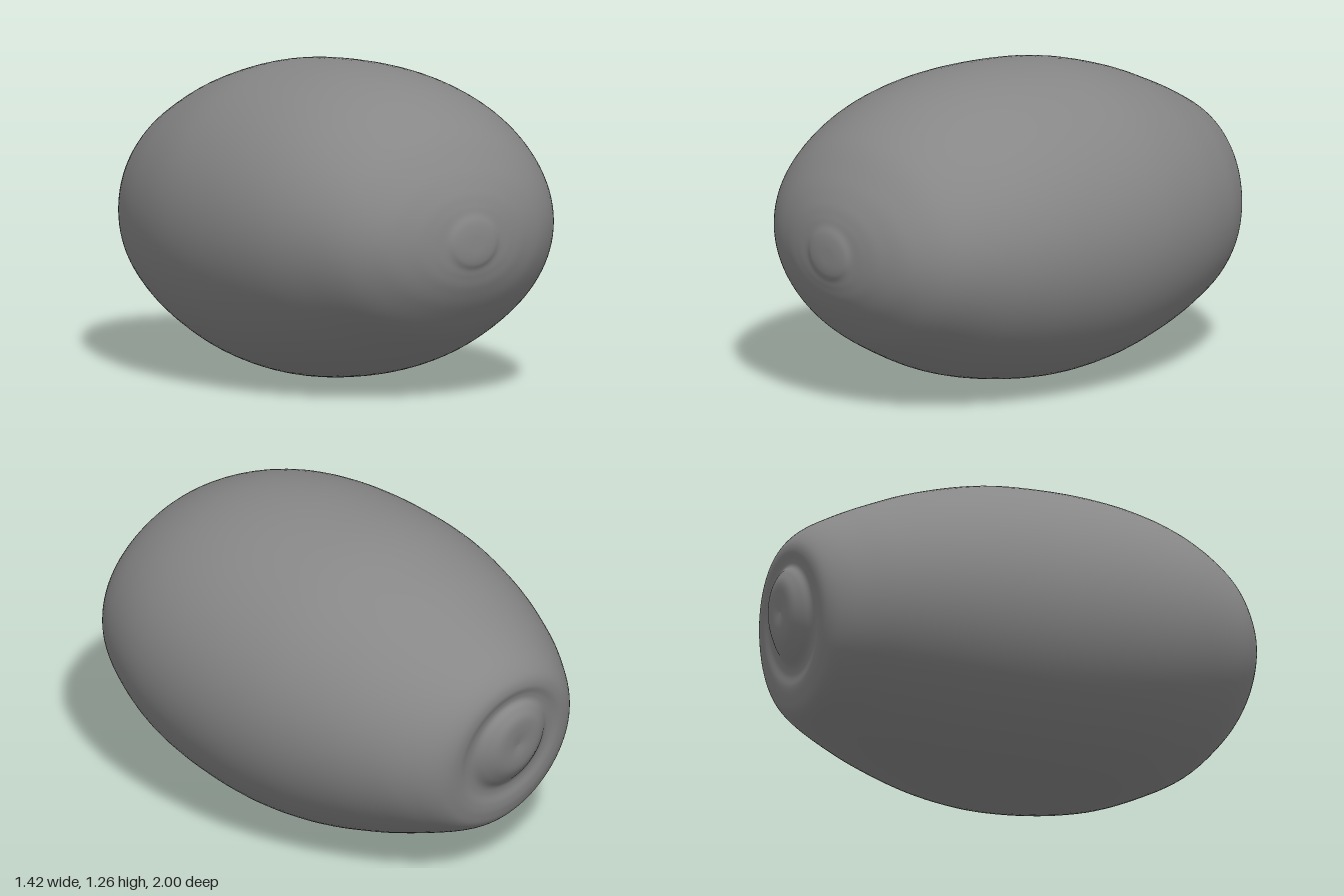
import * as THREE from 'three';

// Oval cross-sections from the front tip to the back end:
// [z, half width, centre height, half height, backward lean]
const SECTIONS = [
  // small, barely raised tip
  [1.0, 0, 0.645, 0, 0],
  [0.999, 0.05, 0.645, 0.045, 0],
  [0.993, 0.095, 0.648, 0.083, 0],
  [0.981, 0.13, 0.652, 0.112, 0],
  // body
  [0.972, 0.19, 0.654, 0.145, 0],
  [0.952, 0.27, 0.655, 0.2, 0],
  [0.9, 0.39, 0.658, 0.287, 0],
  [0.8, 0.51, 0.661, 0.4, 0],
  [0.65, 0.602, 0.661, 0.493, 0],
  [0.47, 0.668, 0.652, 0.566, 0],
  [0.25, 0.704, 0.641, 0.611, 0],
  [0, 0.709, 0.628, 0.626, 0],
  [-0.25, 0.678, 0.623, 0.605, 0],
  [-0.5, 0.606, 0.616, 0.541, 0],
  [-0.7, 0.515, 0.605, 0.464, -0.005],
  [-0.82, 0.436, 0.594, 0.408, -0.025],
  // rounded rim, soft groove and stem button
  [-0.89, 0.374, 0.585, 0.362, -0.07],
  [-0.926, 0.32, 0.58, 0.31, -0.13],
  [-0.935, 0.27, 0.58, 0.265, -0.16],
  [-0.928, 0.225, 0.585, 0.225, -0.17],
  [-0.932, 0.19, 0.59, 0.195, -0.17],
  [-0.957, 0.155, 0.595, 0.165, -0.16],
  [-0.982, 0.11, 0.6, 0.12, -0.14],
  [-0.987, 0.06, 0.6, 0.065, -0.12],
  [-0.98, 0, 0.6, 0, -0.1],
];

const SIDES = 96;
const STEPS = (SECTIONS.length - 1) * 6;

function smoothCurve(pick) {
  const points = SECTIONS.map((s) => new THREE.Vector3(...pick(s)));
  return new THREE.CatmullRomCurve3(points, false, 'catmullrom', 0.5);
}

// Skin the interpolated cross-sections into one closed smooth surface
function fruitGeometry() {
  const spine = smoothCurve(([z, , cy, , lean]) => [lean, cy, z]);
  const radii = smoothCurve(([, rx, , ry]) => [rx, ry, 0]);
  const positions = [];
  const indices = [];

  for (let i = 0; i <= STEPS; i++) {
    const c = spine.getPoint(i / STEPS);
    const r = radii.getPoint(i / STEPS);
    for (let j = 0; j < SIDES; j++) {
      const angle = (j / SIDES) * Math.PI * 2;
      const x = r.x * Math.cos(angle);
      const dy = r.y * Math.sin(angle);
      // c.x carries the lean of the back end, slightly sideways too
      positions.push(x, c.y + dy, c.z + c.x * (dy - 0.25 * x));
      if (i < STEPS) {
        const next = (j + 1) % SIDES;
        const a = i * SIDES + j;
        const b = i * SIDES + next;
        indices.push(a, a + SIDES, b, b, a + SIDES, b + SIDES);
      }
    }
  }

  const geometry = new THREE.BufferGeometry();
  geometry.setAttribute('position', new THREE.Float32BufferAttribute(positions, 3));
  geometry.setIndex(indices);
  geometry.computeVertexNormals();
  return geometry;
}

export function createModel() {
  const group = new THREE.Group();
  group.name = 'fruit';
  const skin = new THREE.Mesh(
    fruitGeometry(),
    new THREE.MeshStandardMaterial({ color: 0x878787 })
  );
  skin.name = 'fruitSkin';
  group.add(skin);
  return group;
}
